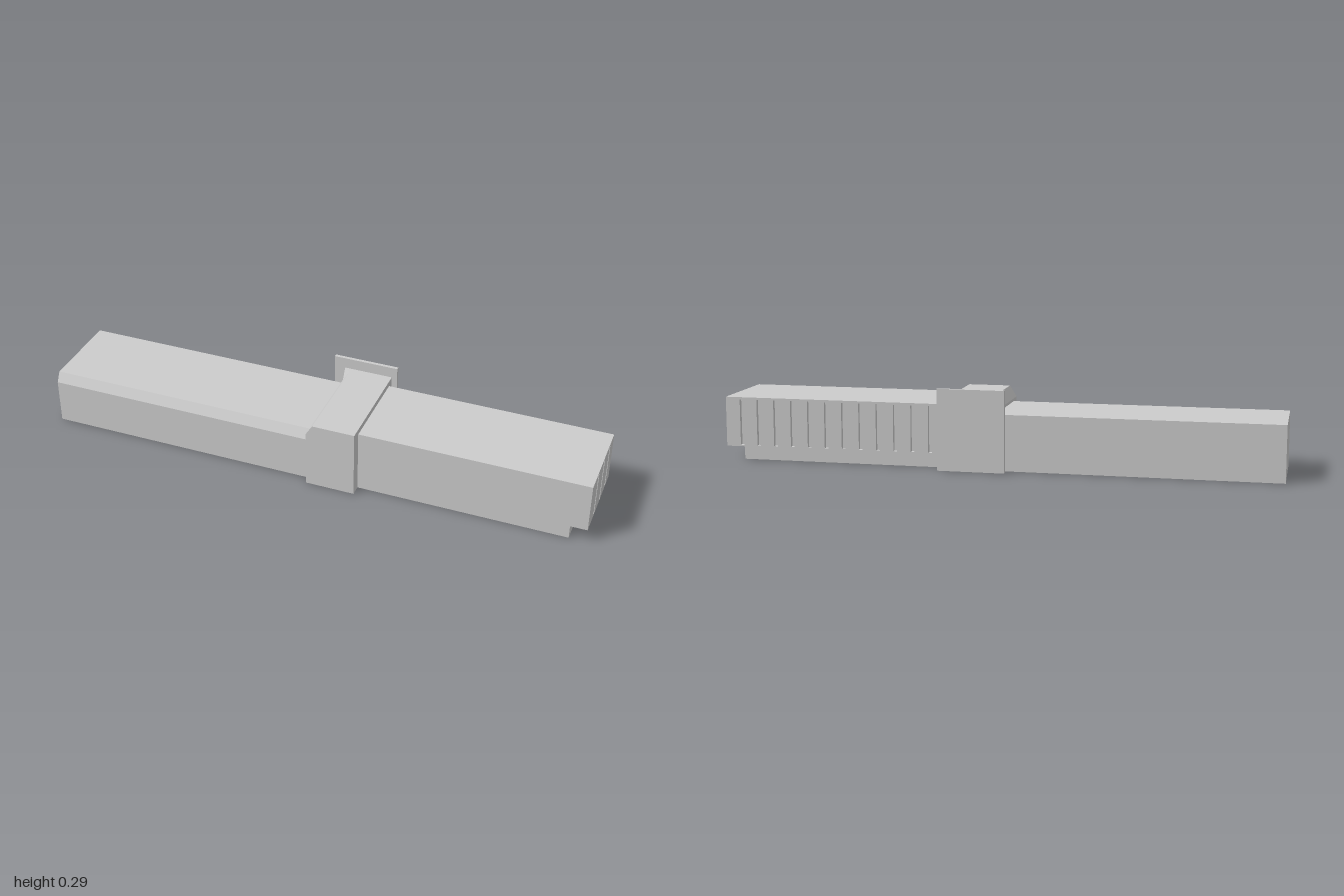
import * as THREE from 'three';

const material = new THREE.MeshStandardMaterial({ color: 0xcccccc, flatShading: true, side: THREE.DoubleSide });

function add(group, name, geometry) {
  const mesh = new THREE.Mesh(geometry, material);
  mesh.name = name;
  group.add(mesh);
  return mesh;
}

// Flat faces from corner loops; each loop fans out from its first corner
function faces(...loops) {
  const pos = [];
  for (const l of loops)
    for (let i = 1; i < l.length - 1; i++) pos.push(...l[0], ...l[i], ...l[i + 1]);
  const g = new THREE.BufferGeometry();
  g.setAttribute('position', new THREE.Float32BufferAttribute(pos, 3));
  g.computeVertexNormals();
  return g;
}

const shapeOf = (pts) => new THREE.Shape(pts.map(([x, y]) => new THREE.Vector2(x, y)));

// Outline given as [z, y], standing in the plane of constant x
const crossWall = (pts, x) => new THREE.ShapeGeometry(shapeOf(pts)).rotateY(-Math.PI / 2).translate(x, 0, 0);

// Wall with tall recessed slots, thickness along +z
const DEPTH = 0.015;
function slottedWall(u0, u1, centres) {
  const shape = shapeOf([[u0, 0.05], [u1, 0.05], [u1, 0.23], [u0, 0.23]]);
  for (const c of centres) {
    const a = c - 0.007, b = c + 0.007;
    shape.holes.push(shapeOf([[a, 0.055], [a, 0.222], [b, 0.222], [b, 0.055]]));
  }
  return new THREE.ExtrudeGeometry(shape, { depth: DEPTH, bevelEnabled: false });
}

export function createModel() {
  const model = new THREE.Group();
  model.name = 'building';

  // Lower wing: open-bottomed shell with a bevelled front eave
  const wing = new THREE.Group();
  wing.name = 'lowerWing';
  model.add(wing);
  const profile = [[0.17, 0], [0.17, 0.165], [0.15, 0.2], [-0.16, 0.2], [-0.16, 0]];
  const names = ['frontWall', 'bevelledEave', 'roof', 'backWall'];
  names.forEach((name, i) => {
    const [za, ya] = profile[i], [zb, yb] = profile[i + 1];
    add(wing, name, faces([[-1, ya, za], [0, ya, za], [0, yb, zb], [-1, yb, zb]]));
  });
  add(wing, 'endWall', crossWall(profile, -1));

  // Taller wing: overhangs a recessed base at the end and back
  const hall = new THREE.Group();
  hall.name = 'tallWing';
  model.add(hall);
  add(hall, 'frontWall', faces([
    [0.94, 0.05, 0.16], [1, 0.05, 0.16], [1, 0.23, 0.16], [0.18, 0.23, 0.16], [0.18, 0, 0.16], [0.94, 0, 0.16]]));
  add(hall, 'roof', faces([[0.18, 0.23, 0.16], [1, 0.23, 0.16], [1, 0.23, -0.16], [0.18, 0.23, -0.16]]));
  add(hall, 'overhangUnderside', faces([
    [0.94, 0.05, -0.14], [0.94, 0.05, 0.16], [1, 0.05, 0.16], [1, 0.05, -0.16], [0.18, 0.05, -0.16], [0.18, 0.05, -0.14]]));
  add(hall, 'base', faces(
    [[0.94, 0, 0.16], [0.94, 0, -0.14], [0.94, 0.05, -0.14], [0.94, 0.05, 0.16]],
    [[0.94, 0, -0.14], [0.18, 0, -0.14], [0.18, 0.05, -0.14], [0.94, 0.05, -0.14]]));

  // Slotted walls with a backing behind the slots
  const backSlots = Array.from({ length: 12 }, (_, i) => 0.94 - i * 0.064);
  add(hall, 'slottedBackWall', slottedWall(0.18, 1, backSlots).translate(0, 0, -0.16));
  add(hall, 'slottedEndWall', slottedWall(-0.16, 0.16, [0.072, -0.015, -0.097])
    .rotateY(-Math.PI / 2).translate(1, 0, 0));
  const zi = -0.16 + DEPTH, xi = 1 - DEPTH;
  add(hall, 'slotBacking', faces(
    [[0.18, 0.05, zi], [xi, 0.05, zi], [xi, 0.23, zi], [0.18, 0.23, zi]],
    [[xi, 0.05, zi], [xi, 0.05, 0.16], [xi, 0.23, 0.16], [xi, 0.23, zi]]));

  // Central block: its bevelled top edge runs out to a sharp back corner
  const block = new THREE.Group();
  block.name = 'centralBlock';
  model.add(block);
  add(block, 'frontWall', faces([[0, 0, 0.2], [0.18, 0, 0.2], [0.18, 0.25, 0.2], [0.025, 0.25, 0.2], [0, 0.21, 0.2]]));
  add(block, 'roof', faces([
    [0.025, 0.25, -0.165], [0.025, 0.25, 0.2], [0.18, 0.25, 0.2], [0.18, 0.25, -0.19], [0, 0.25, -0.19]]));
  add(block, 'bevelledEdge', faces(
    [[0, 0.21, 0.2], [0.025, 0.25, 0.2], [0.025, 0.25, -0.165], [0, 0.21, -0.165]],
    [[0, 0.21, -0.165], [0.025, 0.25, -0.165], [0, 0.25, -0.19]]));
  add(block, 'lowerWingSide', crossWall([
    [0.2, 0], [0.2, 0.21], [-0.165, 0.21], [-0.19, 0.25], [-0.19, 0], ...profile.slice().reverse()], 0));
  add(block, 'tallWingSide', crossWall([
    [0.2, 0], [0.2, 0.25], [-0.19, 0.25], [-0.19, 0], [-0.14, 0], [-0.14, 0.05],
    [-0.16, 0.05], [-0.16, 0.23], [0.16, 0.23], [0.16, 0]], 0.18));

  // Upright slab against the back of the central block
  add(model, 'backSlab', new THREE.BoxGeometry(0.24, 0.29, 0.012)).position.set(0.08, 0.145, -0.194);

  return model;
}
